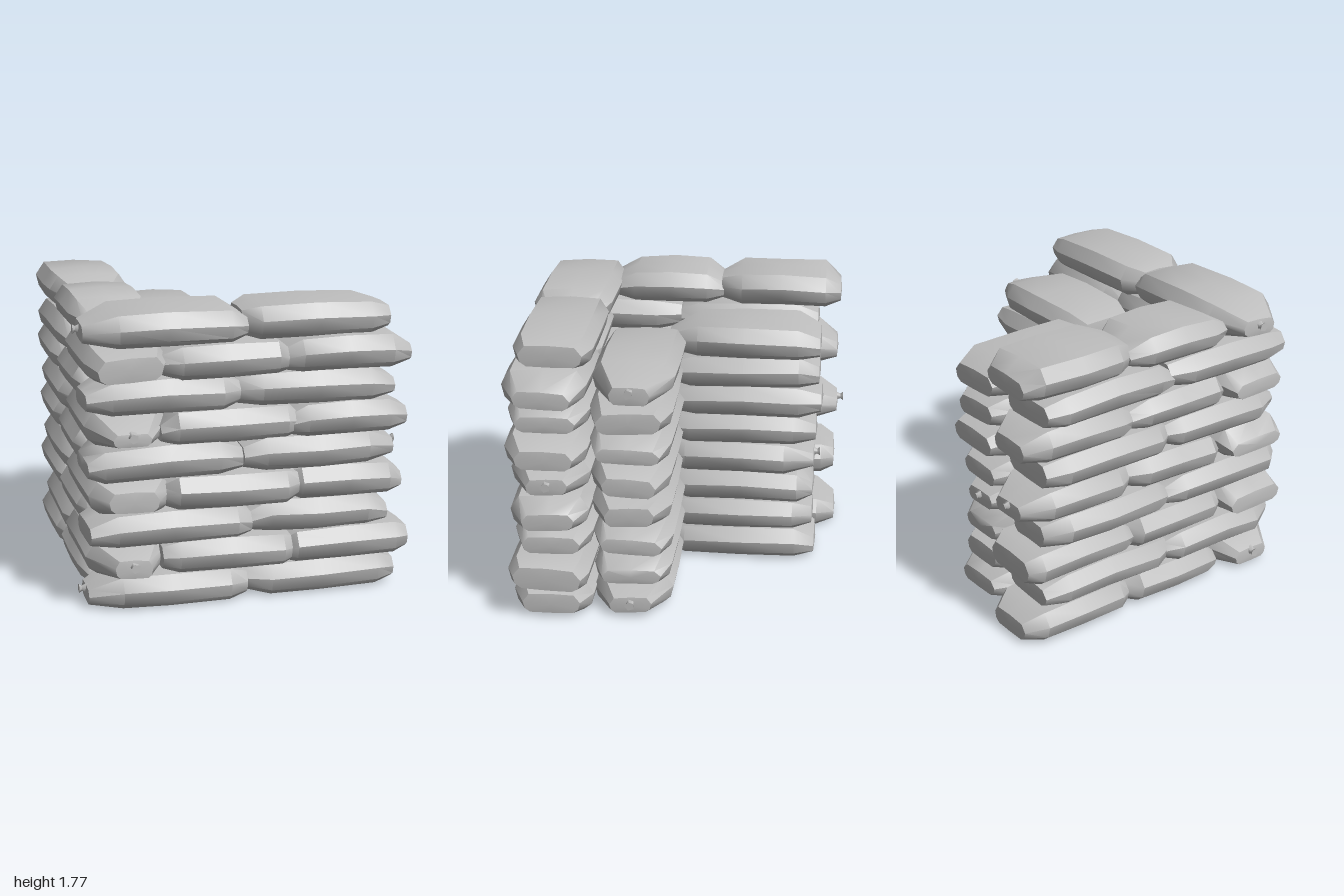
import * as THREE from 'three';
import { toCreasedNormals } from 'three/addons/utils/BufferGeometryUtils.js';

// Small seeded generator for the variation between bags
let seed = 7;
function rand(a, b) {
  seed = (seed * 16807) % 2147483647;
  return a + (b - a) * (seed / 2147483647);
}

// Cross-section of a bag: [half-width fraction, height fraction]
const RING = [[0.93, 0.2], [1, 0.56], [0.78, 0.95], [0, 1], [-0.78, 0.95], [-1, 0.56], [-0.93, 0.2], [-0.74, 0.02], [0, 0], [0.74, 0.02]];

// A filled bag along x, lofted through five cross-sections; tied ends are narrower
function bagGeometry(length, width, height, knotSide) {
  const end = (tied) => ({
    w: tied ? rand(0.42, 0.52) : rand(0.58, 0.82),
    lo: rand(0.04, 0.14),
    hi: tied ? rand(0.5, 0.62) : rand(0.55, 0.82),
    inset: tied ? rand(0.27, 0.31) : rand(0.32, 0.4),
  });
  const a = end(knotSide < 0), b = end(knotSide > 0);
  const stations = [
    [-0.5, a.w, a.lo, a.hi],
    [-a.inset, 0.98, 0, rand(0.93, 1)],
    [0, 1, 0, 1],
    [b.inset, 0.98, 0, rand(0.93, 1)],
    [0.5, b.w, b.lo, b.hi],
  ];
  const n = RING.length, pos = [], index = [];
  for (const [x, w, lo, hi] of stations) {
    const lean = rand(-0.04, 0.04);
    for (const [rz, ry] of RING) {
      pos.push(x * length, (lo + (hi - lo) * ry + rz * lean) * height, rz * w * width / 2);
    }
  }
  for (let i = 0; i < stations.length - 1; i++) {
    for (let k = 0; k < n; k++) {
      const p = i * n + k, q = i * n + (k + 1) % n;
      index.push(p, p + n, q, p + n, q + n, q);
    }
  }
  // End caps, bulging slightly
  const c0 = stations.length * n, last = c0 - n;
  pos.push(-0.51 * length, (a.lo + a.hi) / 2 * height, 0, 0.51 * length, (b.lo + b.hi) / 2 * height, 0);
  for (let k = 0; k < n; k++) {
    const k1 = (k + 1) % n;
    index.push(c0, k, k1, c0 + 1, last + k1, last + k);
  }
  const g = new THREE.BufferGeometry();
  g.setAttribute('position', new THREE.Float32BufferAttribute(pos, 3));
  g.setIndex(index);
  return toCreasedNormals(g, 0.7);
}

export function createModel() {
  seed = 7;
  const model = new THREE.Group();
  model.name = 'sandbagWall';
  const cloth = new THREE.MeshStandardMaterial({ color: 0xbebebe });
  cloth.name = 'greyCloth';

  const pitch = 0.195, height = 0.213, width = 0.49;

  // Tied neck: a pinched stem and a flared tuft
  function addKnot(parent, side, x) {
    const knot = new THREE.Group();
    knot.name = 'tiedNeck';
    const stem = new THREE.Mesh(new THREE.CylinderGeometry(0.015, 0.035, 0.04, 5), cloth);
    const tuft = new THREE.Mesh(new THREE.CylinderGeometry(0.03, 0.013, 0.022, 5), cloth);
    stem.name = 'neckStem';
    tuft.name = 'neckTuft';
    stem.position.y = 0.008;
    tuft.position.y = 0.03;
    knot.add(stem, tuft);
    knot.rotation.z = -side * Math.PI / 2;
    knot.position.set(side * x, 0.09, 0);
    parent.add(knot);
  }

  // One bag from 'from' to 'to' along an axis, centred on 'across' on the other
  function addBag(name, layer, axis, from, to, across, knotSide = 0) {
    const length = to - from, mid = (from + to) / 2;
    const bag = new THREE.Group();
    bag.name = name;
    const body = new THREE.Mesh(bagGeometry(length, width + rand(-0.01, 0.02), height, knotSide), cloth);
    body.name = 'bagBody';
    bag.add(body);
    if (knotSide) addKnot(bag, knotSide, length / 2);
    const off = across + rand(-0.01, 0.01);
    bag.position.set(axis === 'x' ? mid : off, 0.01 + layer * pitch, axis === 'x' ? off : mid);
    bag.rotation.y = (axis === 'z' ? -Math.PI / 2 : 0) + rand(-0.015, 0.015);
    model.add(bag);
  }

  // Layer by layer: where the front bags meet, and the outer ends of each row
  const frontJoint = [-0.02, 0.27, 0, 0.3, -0.03, 0.3, -0.06, 0.24, -0.02];
  const frontEnd = [0.92, 0.99, 0.87, 0.96, 0.91, 0.97, 0.89, 0.99, 0.86];
  const sideEnd = [-0.975, -0.83, -0.96, -0.83, -0.97, -0.83, -0.96, -0.83, -0.97];
  const innerEnd = [-0.85, -0.83, -0.83, -0.83, -0.84, -0.87, -0.85, -0.85];

  for (let i = 0; i < 9; i++) {
    const z = i === 8 ? 0.695 : 0.73;
    const joint = frontJoint[i];
    // Outer rows, bonded alternately at the corner
    if (i % 2 === 0) {
      addBag('frontBag', i, 'x', -0.96, joint + 0.01, z, i === 0 || i === 8 ? -1 : 0);
      addBag('frontBag', i, 'x', joint - 0.01, frontEnd[i], z - 0.01, i === 4 ? 1 : 0);
      addBag('sideBag', i, 'z', -0.23, 0.49, -0.71);
      addBag('sideBag', i, 'z', sideEnd[i], -0.2, -0.715, i === 4 ? -1 : 0);
    } else {
      addBag('cornerBag', i, 'z', 0.06, 0.97, -0.715, i === 1 || i === 5 ? 1 : 0);
      addBag('sideBag', i, 'z', sideEnd[i], 0.09, -0.72);
      addBag('frontBag', i, 'x', -0.53, joint + 0.02, z);
      addBag('frontBag', i, 'x', joint - 0.06, frontEnd[i], z - 0.005);
    }
    // Inner rows, one layer lower than the outer ones
    if (i < 8) {
      addBag('innerSideBag', i, 'z', innerEnd[i], 0.1, -0.215, i === 3 ? -1 : i === 7 ? 1 : 0);
      addBag('innerFrontBag', i, 'x', -0.1, 0.87, 0.235, i === 0 || i === 7 ? 1 : 0);
    }
  }
  return model;
}
